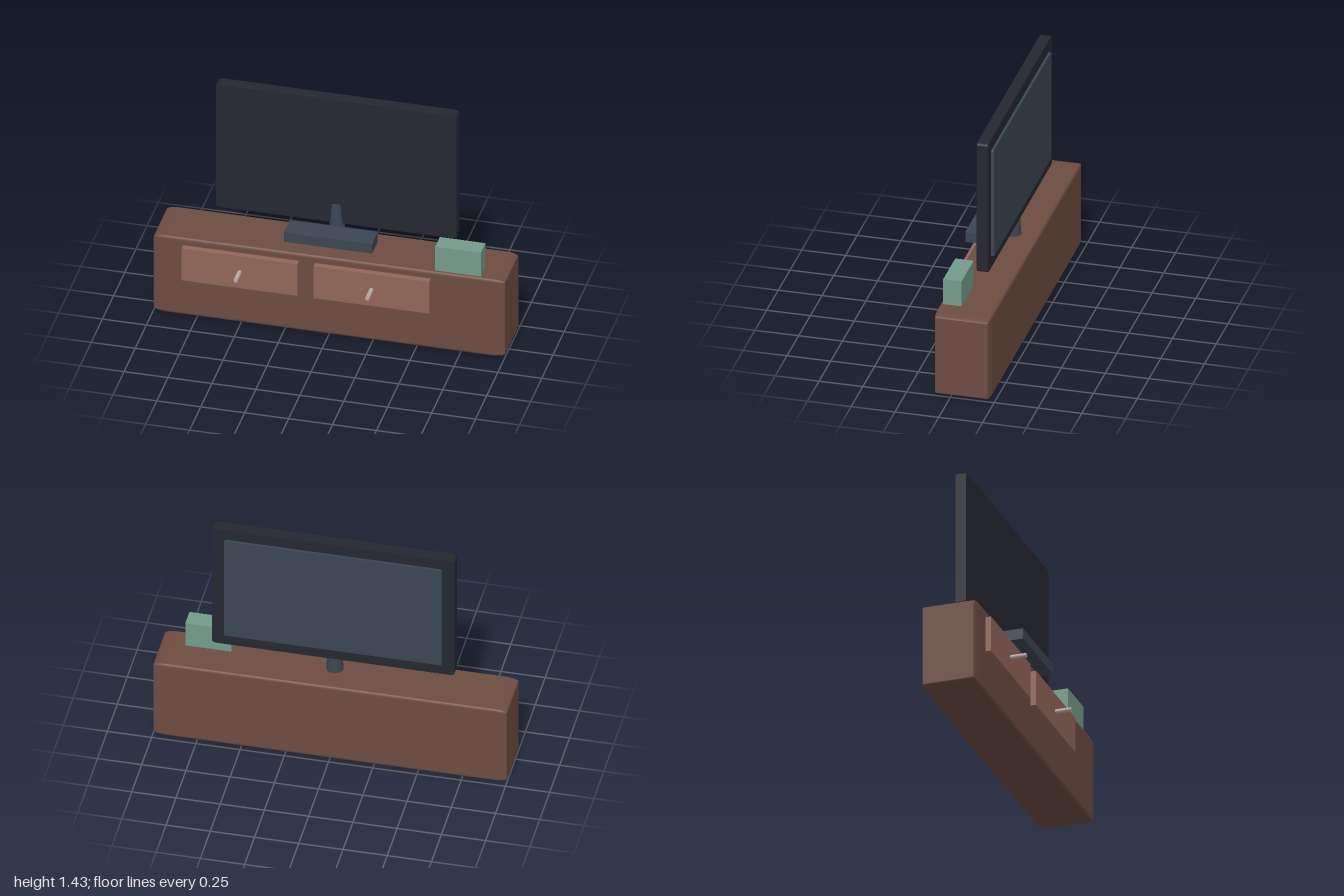
import * as THREE from 'three';
import { RoundedBoxGeometry } from 'three/addons/geometries/RoundedBoxGeometry.js';

const paint = (color) => new THREE.MeshStandardMaterial({ color });

const wood = paint(0x6d4c41);
const drawerWood = paint(0x916659);
const black = paint(0x24282f);
const slate = paint(0x3a4652);
const green = paint(0x739c89);
const metal = paint(0xbcaaa4);

// Box given by its min and max corners; a rounding is a fraction of each side.
function block(name, min, max, material, rounding = 0) {
  const size = max.map((v, i) => v - min[i]);
  const geometry = rounding
    ? new RoundedBoxGeometry(1, 1, 1, 4, rounding).scale(...size)
    : new THREE.BoxGeometry(...size);
  const mesh = new THREE.Mesh(geometry, material);
  mesh.name = name;
  mesh.position.set(...min.map((v, i) => (v + max[i]) / 2));
  return mesh;
}

// Drawer front with a round pull sticking out of its middle.
function makeDrawer(x) {
  const drawer = new THREE.Group();
  drawer.name = 'drawer';
  drawer.position.set(x, 0.35, 0);

  const front = block('drawerFront', [-0.33, -0.105, 0.07], [0.33, 0.105, 0.13], drawerWood, 0.01);

  const pull = new THREE.Mesh(new THREE.CylinderGeometry(0.0125, 0.0125, 0.107, 24), metal);
  pull.name = 'drawerPull';
  pull.rotation.x = Math.PI / 2;
  pull.position.z = 0.1685;

  drawer.add(front, pull);
  return drawer;
}

// Screen, rear housing and tapered stand.
function makeTelevision() {
  const television = new THREE.Group();
  television.name = 'television';

  const stand = new THREE.Mesh(new THREE.CylinderGeometry(0.034, 0.048, 0.215, 32), slate);
  stand.name = 'stand';
  stand.position.set(0, 0.643, -0.088);

  television.add(
    block('screen', [-0.685, 0.63, -0.13], [0.685, 1.43, -0.065], black, 0.02),
    block('rearHousing', [-0.615, 0.7, -0.145], [0.615, 1.36, -0.11], slate, 0.01),
    stand
  );
  return television;
}

export function createModel() {
  const model = new THREE.Group();
  model.name = 'mediaConsole';

  model.add(
    block('cabinet', [-1, 0.002, -0.22], [1, 0.5, 0.097], wood, 0.04),
    makeDrawer(-0.5),
    makeDrawer(0.25),
    makeTelevision(),
    block('soundbar', [-0.25, 0.577, -0.013], [0.25, 0.641, 0.115], slate, 0.01),
    block('storageBox', [0.6, 0.495, -0.026], [0.86, 0.654, 0.079], green)
  );
  return model;
}
